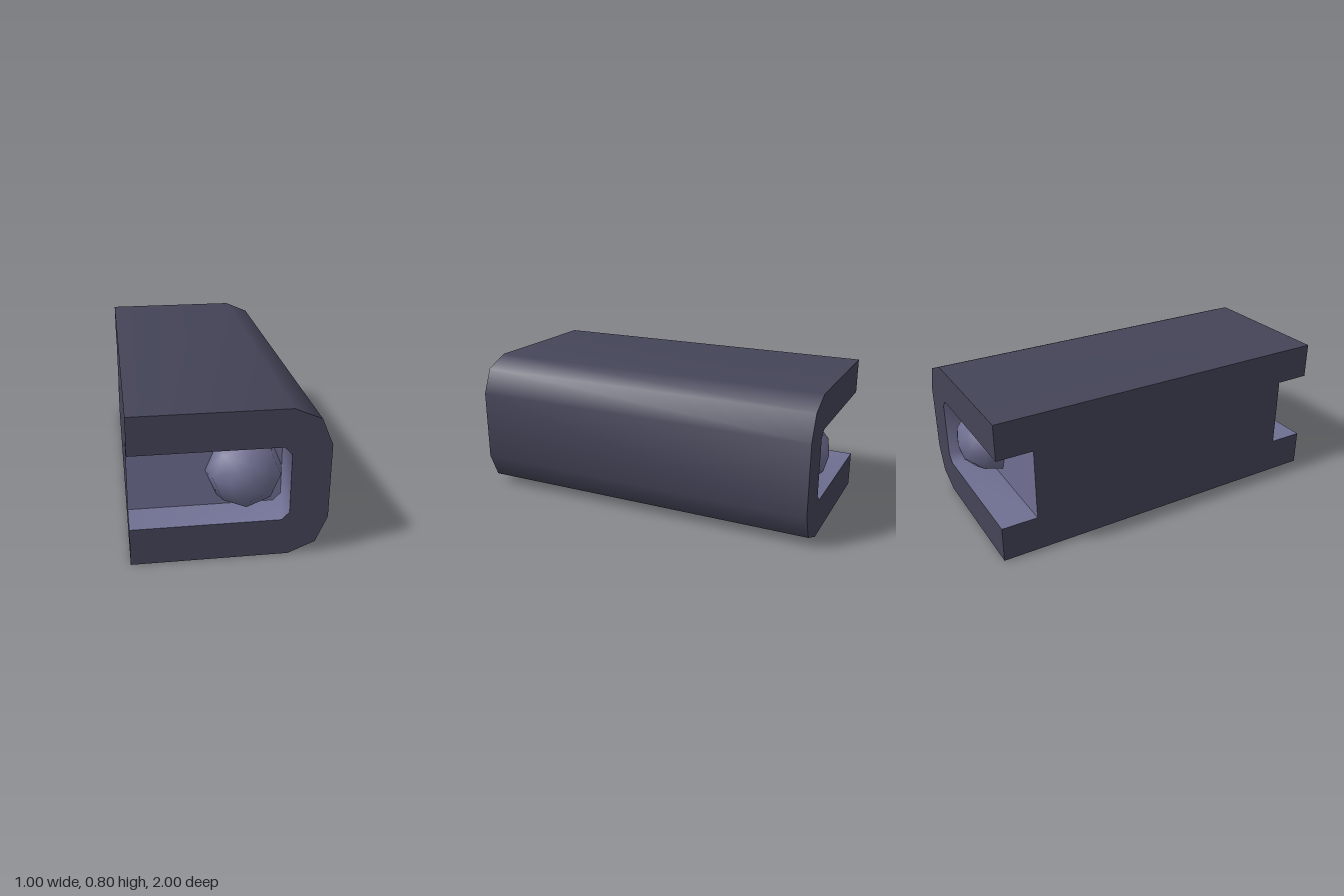
import * as THREE from 'three';
import { toCreasedNormals } from 'three/addons/utils/BufferGeometryUtils.js';

const MID = 0.4;    // mid height
const HALF = 1;     // half length
const FLOOR = 0.8;  // z of the recess back wall

// Profiles in x / y about mid height, counter-clockwise seen from the front
const OUTER = [[-0.5, -0.4], [0.3, -0.4], [0.44, -0.34], [0.5, -0.2],
  [0.5, 0.2], [0.44, 0.34], [0.3, 0.4], [-0.5, 0.4]];
const INNER = [[-0.5, -0.2], [0.26, -0.2], [0.3, -0.16],
  [0.3, 0.16], [0.26, 0.2], [-0.5, 0.2]];

const toShape = (pts) => new THREE.Shape(pts.map(([x, y]) => new THREE.Vector2(x, y)));

// Wall swept along z over an open profile
function sweep(pts, z0, z1) {
  const pos = [];
  for (let i = 0; i < pts.length - 1; i++) {
    const [a, b] = [pts[i], pts[i + 1]];
    pos.push(...a, z0, ...b, z0, ...b, z1, ...a, z0, ...b, z1, ...a, z1);
  }
  const g = new THREE.BufferGeometry();
  g.setAttribute('position', new THREE.Float32BufferAttribute(pos, 3));
  return toCreasedNormals(g, 0.9);
}

export function createModel() {
  const dark = new THREE.MeshStandardMaterial({ color: 0x444458 });
  dark.name = 'darkCasing';
  const light = new THREE.MeshStandardMaterial({ color: 0x6f6f92 });
  light.name = 'lightInset';

  const model = new THREE.Group();
  model.name = 'roundedBlock';
  const body = new THREE.Group();
  body.name = 'body';
  body.position.y = MID;
  model.add(body);

  const add = (parent, name, geometry, material) => {
    const mesh = new THREE.Mesh(geometry, material);
    mesh.name = name;
    parent.add(mesh);
  };

  // Top, bottom and rounded side of the casing
  add(body, 'casing', sweep(OUTER, -HALF, HALF), dark);

  // Flat side, notched where the end recesses break through
  const side = toShape([[-HALF, -0.4], [HALF, -0.4], [HALF, -0.2], [FLOOR, -0.2],
    [FLOOR, 0.2], [HALF, 0.2], [HALF, 0.4], [-HALF, 0.4],
    [-HALF, 0.2], [-FLOOR, 0.2], [-FLOOR, -0.2], [-HALF, -0.2]]);
  add(body, 'flatSide',
    new THREE.ShapeGeometry(side).rotateY(-Math.PI / 2).translate(-0.5, 0, 0), dark);

  // Two matching ends: the profile is symmetric, so the back is a half turn about x
  const inward = [...INNER].reverse();
  for (const [name, turn] of [['frontEnd', 0], ['backEnd', Math.PI]]) {
    const end = new THREE.Group();
    end.name = name;
    end.rotation.x = turn;
    body.add(end);
    add(end, 'rim',
      new THREE.ShapeGeometry(toShape([...OUTER, ...inward])).translate(0, 0, HALF), dark);
    add(end, 'recessLining', sweep(inward, FLOOR, HALF), light);
    add(end, 'recessWall',
      new THREE.ShapeGeometry(toShape(INNER)).translate(0, 0, FLOOR), light);
    // Half-round knob on the recess wall
    add(end, 'knob', new THREE.SphereGeometry(0.2, 8, 3, 0, Math.PI * 2, 0, Math.PI / 2)
      .rotateX(Math.PI / 2).translate(0.1, 0, FLOOR), light);
  }
  return model;
}
